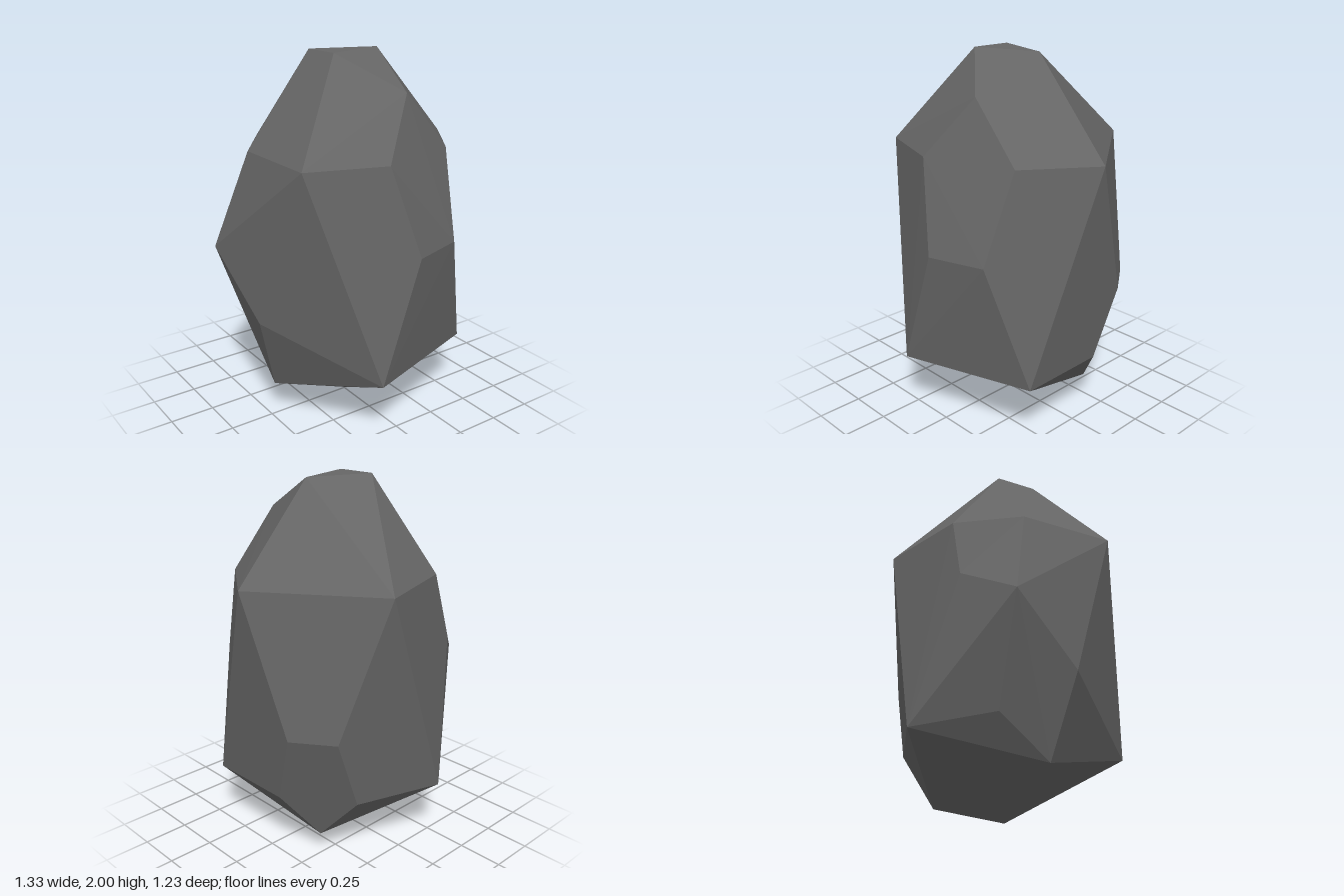
import * as THREE from 'three';
import { ConvexGeometry } from 'three/addons/geometries/ConvexGeometry.js';

const stone = new THREE.MeshStandardMaterial({ color: 0x666666 });
stone.name = 'stone grey';

const v = (x, y, z) => new THREE.Vector3(x, y, z);

// Corners shared by the main body and the bulge on the right side
const backShoulder = v(-0.51, 1.5, -0.145);
const backNotch = v(-0.405, 1.13, -0.457);
const frontShoulder = v(-0.51, 1.5, 0.38);
const sideCut = v(-0.605, 0.63, 0.09);
const baseCut = v(-0.475, 0.19, 0);
const backFoot = v(-0.185, 0.36, -0.615);
const backBase = v(-0.46, 0.41, -0.262);

const bodyCorners = [
  // flat crown
  v(-0.145, 2, -0.115), v(-0.145, 2, 0.115), v(0.21, 2, 0),
  // upper ring
  v(0.66, 1.5, 0), v(0.21, 1.5, -0.615), v(-0.285, 1.5, -0.455), backShoulder, frontShoulder,
  // five-sided chip at the front
  v(0.13, 1.81, 0.36), v(-0.09, 1.5, 0.52), v(0.405, 1.5, 0.36), v(0.045, 1.02, 0.615), v(0.35, 1.02, 0.52),
  // five-sided chip at the back left
  v(0.58, 0.75, -0.25), v(0.43, 0.75, -0.46), v(0.535, 0.36, -0.12), v(0.29, 0.36, -0.46), v(0.36, 0.12, -0.25),
  // lower ring and foot
  v(-0.185, 0.36, 0.615), v(0.54, 0.36, 0.38), backFoot, backNotch, backBase, sideCut, baseCut, v(0.01, 0, 0),
];

const bulgeCorners = [
  v(-0.665, 0.97, -0.27),
  backShoulder, backNotch, frontShoulder, sideCut, baseCut, backFoot, backBase,
];

export function createModel() {
  const rock = new THREE.Group();
  rock.name = 'rock';
  for (const [name, corners] of [['rockBody', bodyCorners], ['sideBulge', bulgeCorners]]) {
    const mesh = new THREE.Mesh(new ConvexGeometry(corners), stone);
    mesh.name = name;
    rock.add(mesh);
  }
  return rock;
}
